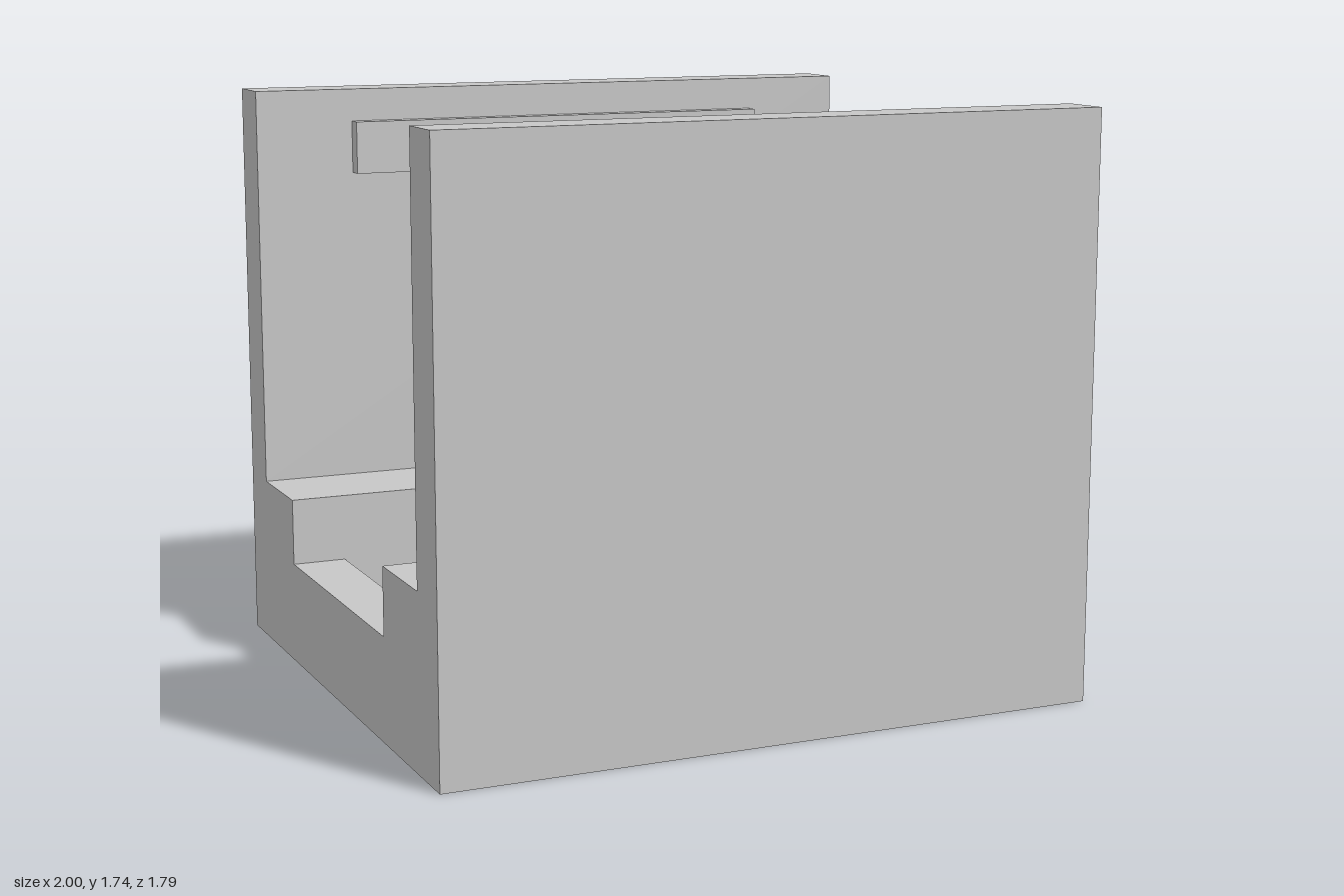
import * as THREE from 'three';

export function createModel() {
  const model = new THREE.Group();
  const lightGrey = new THREE.MeshStandardMaterial({ color: 0xc7c7c7 });
  lightGrey.name = 'lightGrey';

  const add = (name, geometry, x = 0, y = 0, z = 0) => {
    const mesh = new THREE.Mesh(geometry, lightGrey);
    mesh.name = name;
    mesh.position.set(x, y, z);
    model.add(mesh);
  };

  // Stepped channel: half profile (z, y) from outer foot to channel floor, mirrored
  const half = [[0.895, 0], [0.895, 1.742], [0.735, 1.742], [0.735, 0.512], [0.441, 0.512], [0.441, 0.166]];
  const outline = [...half, ...half.map(([z, y]) => [-z, y]).reverse()];
  const shape = new THREE.Shape(outline.map(([z, y]) => new THREE.Vector2(z, y)));
  const body = new THREE.ExtrudeGeometry(shape, { depth: 2, bevelEnabled: false });
  body.translate(0, 0, -1).rotateY(Math.PI / 2);
  add('channelBody', body);

  // Low lip closing the right end of the channel floor
  add('endLip', new THREE.BoxGeometry(0.163, 0.144, 0.882), -0.9185, 0.238, 0);

  // Raised rail near the top of each inner wall
  for (const [name, side] of [['frontRail', 1], ['backRail', -1]]) {
    add(name, new THREE.BoxGeometry(1.386, 0.162, 0.048), 0, 1.561, side * 0.711);
  }
  return model;
}
